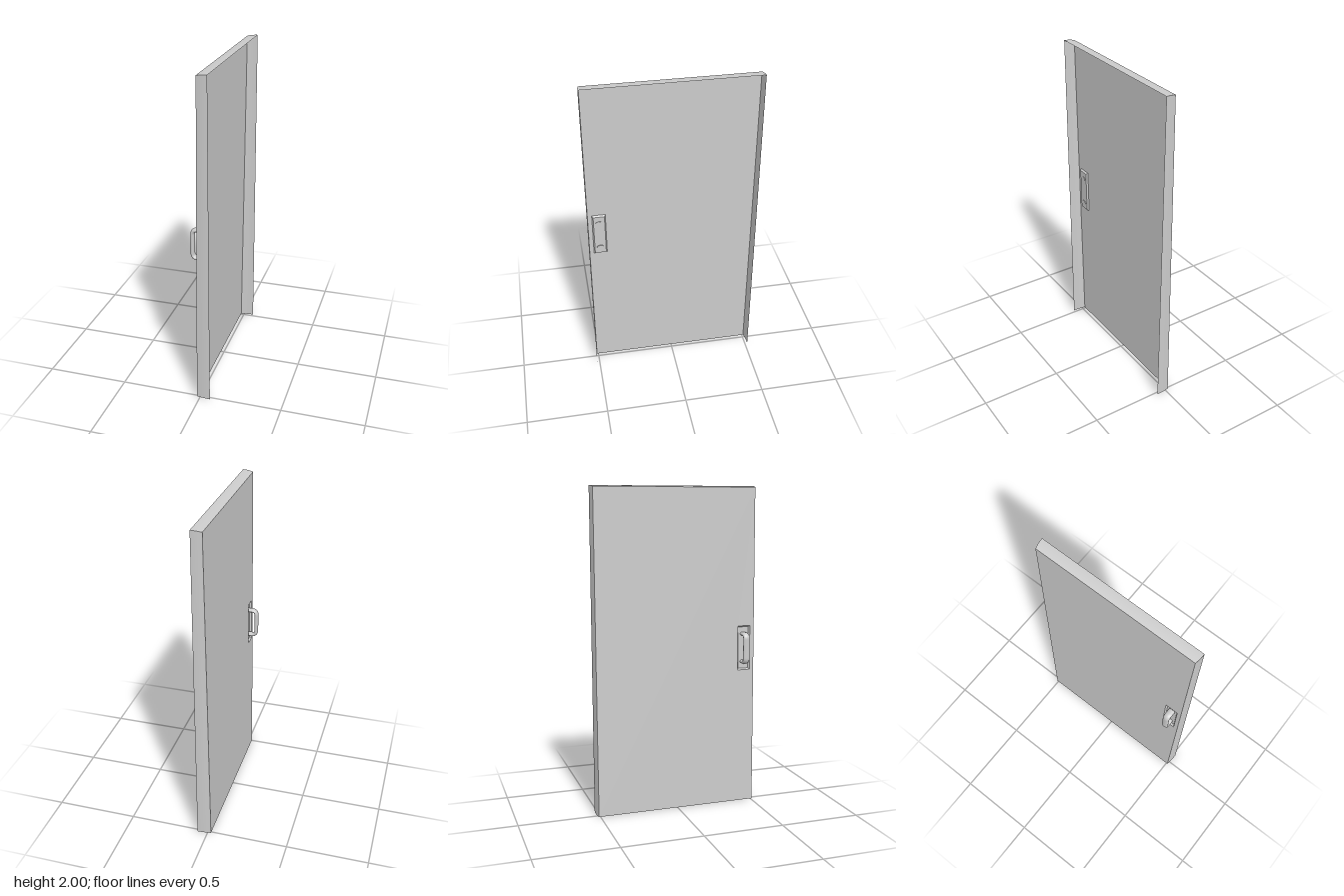
import * as THREE from 'three';
import { toCreasedNormals } from 'three/addons/utils/BufferGeometryUtils.js';

const HALF = 0.517, TOP = 2, RIM = 0.064, LIP = 0.008;
const GRIP_Z = 0.442, GRIP_Y = 1;
const material = new THREE.MeshStandardMaterial({ color: 0xcccccc, side: THREE.DoubleSide });

// The sheet leans slightly: its face is further out at the foot than at the top
const faceX = (y) => -0.0105 * (2 - y);

function add(parent, name, geometry) {
  const mesh = new THREE.Mesh(geometry, material);
  mesh.name = name;
  parent.add(mesh);
  return mesh;
}

// Skin a list of equally long rings of Vector3
function loft(rings, closed) {
  const n = rings[0].length, index = [];
  for (let r = 0; r < rings.length - 1; r++) {
    for (let i = 0; i < (closed ? n : n - 1); i++) {
      const a = r * n + i, b = r * n + (i + 1) % n;
      index.push(a, b, a + n, b, b + n, a + n);
    }
  }
  const g = new THREE.BufferGeometry().setFromPoints(rings.flat());
  g.setIndex(index);
  return toCreasedNormals(g, 0.6);
}

// Rectangle of the handle pan, at a given depth behind the sheet
const panRing = (halfZ, halfY, depth) =>
  [[-1, -1], [-1, 1], [1, 1], [1, -1]].map(([sz, sy]) => {
    const y = GRIP_Y + sy * halfY;
    return new THREE.Vector3(faceX(y) + depth, y, GRIP_Z + sz * halfZ);
  });

export function createModel() {
  const door = new THREE.Group();
  door.name = 'door';

  // Flat face with an opening for the handle pan
  const w = HALF - LIP, h = TOP - LIP;
  const shape = new THREE.Shape([[-w, 0], [w, 0], [w, h], [-w, h]].map((p) => new THREE.Vector2(...p)));
  shape.holes.push(new THREE.Path(panRing(0.041, 0.14, 0).map((p) => new THREE.Vector2(p.z, p.y))));
  const face = new THREE.ShapeGeometry(shape);
  const pos = face.attributes.position;
  for (let i = 0; i < pos.count; i++) {
    const z = pos.getX(i), y = pos.getY(i);
    pos.setXYZ(i, faceX(y), y, z);
  }
  face.computeVertexNormals();
  add(door, 'facePanel', face);

  // Softly curved flange round both sides and the top; the foot stays open
  const rings = [];
  for (let k = 0; k <= 6; k++) {
    const t = k / 6, inset = LIP * (1 - t) ** 2;
    const z = HALF - inset, top = TOP - inset;
    rings.push([[z, 0], [z, top], [-z, top], [-z, 0]].map(([pz, y]) =>
      new THREE.Vector3(THREE.MathUtils.lerp(faceX(y), RIM, t), y, pz)));
  }
  add(door, 'edgeFlange', loft(rings, false));

  // Shallow pan pressed in behind the handle, with sloping walls
  add(door, 'handlePan', loft([
    panRing(0.041, 0.14, 0),
    panRing(0.034, 0.132, 0.011),
    panRing(0.0001, 0.0001, 0.011),
  ], true));

  // Grab handle: a rounded bracket, wider than it is thick
  const handle = new THREE.Group();
  handle.name = 'handle';
  handle.position.set(0, GRIP_Y, GRIP_Z);
  handle.scale.z = 1.75;
  door.add(handle);

  const R = 0.012, reach = -0.054, foot = 0.004, half = 0.088, bend = 0.03;
  const v = (x, y) => new THREE.Vector3(x, y, 0);
  const path = new THREE.CurvePath();
  path.add(new THREE.LineCurve3(v(foot, -half), v(reach + bend, -half)));
  path.add(new THREE.QuadraticBezierCurve3(v(reach + bend, -half), v(reach, -half), v(reach, bend - half)));
  path.add(new THREE.LineCurve3(v(reach, bend - half), v(reach, half - bend)));
  path.add(new THREE.QuadraticBezierCurve3(v(reach, half - bend), v(reach, half), v(reach + bend, half)));
  path.add(new THREE.LineCurve3(v(reach + bend, half), v(foot, half)));
  add(handle, 'grip', new THREE.TubeGeometry(path, 60, R, 20));

  // Handle ends showing through the pan
  for (const s of [-1, 1]) {
    const end = add(handle, 'handleEnd', new THREE.CircleGeometry(R, 20));
    end.rotation.y = Math.PI / 2;
    end.position.set(foot, s * half, 0);
  }
  return door;
}
